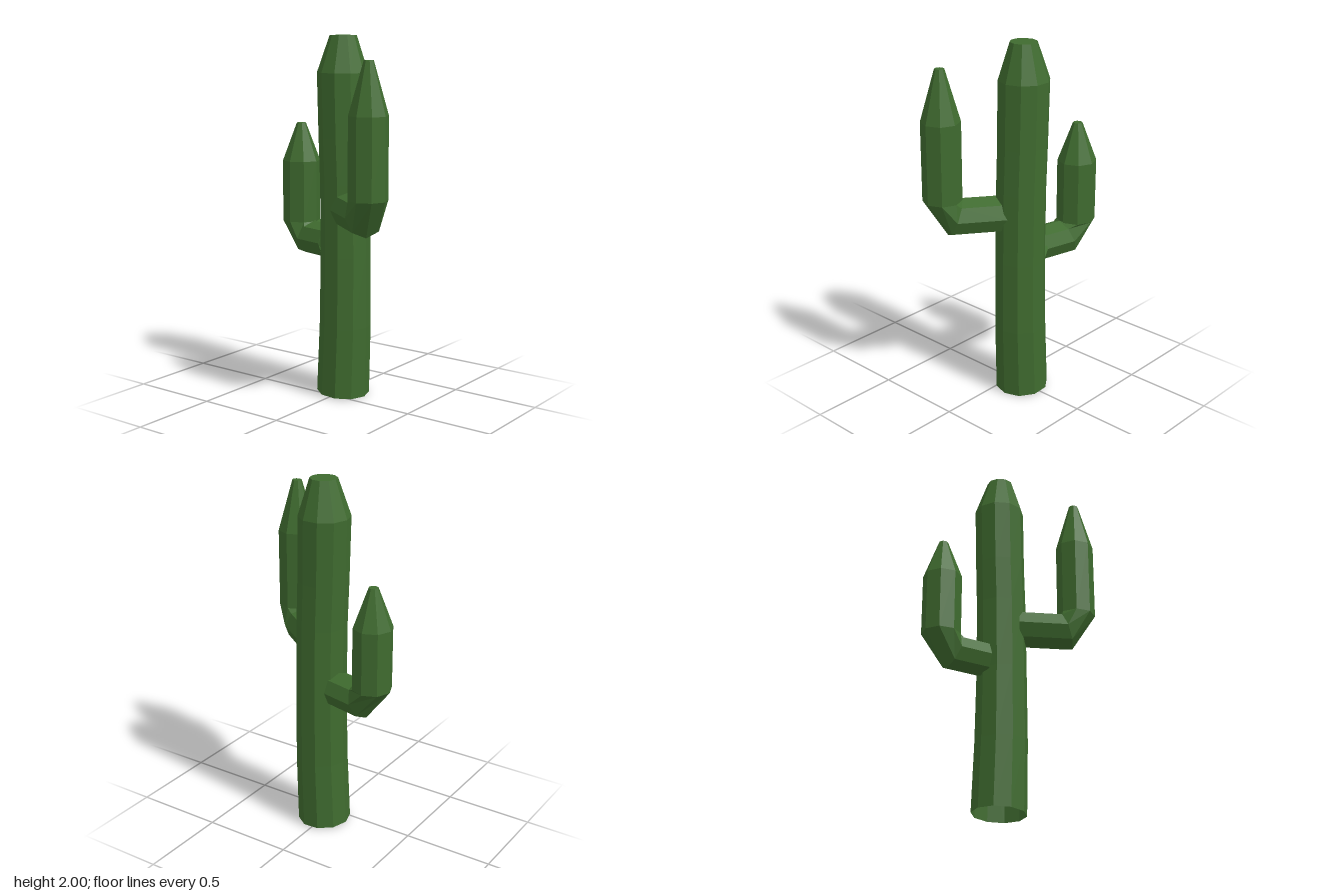
import * as THREE from 'three';

const TRUNK_Z = -0.09;

// Skin a list of rings (arrays of Vector3) from base to tip and close the tip with a fan.
function loft(name, rings, material) {
  const pos = [];
  const tri = (...pts) => pts.forEach(p => pos.push(p.x, p.y, p.z));
  const n = rings[0].length;
  for (let i = 0; i < rings.length - 1; i++) {
    for (let j = 0; j < n; j++) {
      const k = (j + 1) % n, lo = rings[i], hi = rings[i + 1];
      tri(lo[j], hi[j], lo[k]);
      tri(lo[k], hi[j], hi[k]);
    }
  }
  const top = rings[rings.length - 1];
  const centre = top.reduce((s, p) => s.add(p), new THREE.Vector3()).divideScalar(n);
  for (let j = 0; j < n; j++) tri(top[j], centre, top[(j + 1) % n]);

  const geometry = new THREE.BufferGeometry();
  geometry.setAttribute('position', new THREE.Float32BufferAttribute(pos, 3));
  geometry.computeVertexNormals();
  const mesh = new THREE.Mesh(geometry, material);
  mesh.name = name;
  return mesh;
}

// Ring of points around a centre, spanned by the axes u and v.
function ring(centre, u, v, r, sides, phase = 0) {
  return Array.from({ length: sides }, (_, j) => {
    const a = phase + j / sides * Math.PI * 2;
    return centre.clone().addScaledVector(u, r * Math.cos(a)).addScaledVector(v, r * Math.sin(a));
  });
}

// Slightly swaying ten-sided trunk, open underneath.
function makeTrunk(material) {
  const sections = [ // y, centre x, radius, slope of the ring
    [0.008, 0.003, 0.147, -0.05],
    [0.4, 0.017, 0.143, 0],
    [0.8, 0.019, 0.138, 0],
    [1.2, 0.014, 0.137, 0],
    [1.45, 0.004, 0.137, 0],
    [1.8, -0.004, 0.139, 0],
    [2, 0, 0.073, 0],
  ];
  const v = new THREE.Vector3(0, 0, 1);
  const rings = sections.map(([y, x, r, slope]) =>
    ring(new THREE.Vector3(x, y, TRUNK_Z), new THREE.Vector3(1, slope, 0), v, r, 10));
  return loft('trunk', rings, material);
}

// Eight-sided arm: leaves the trunk level, bends at an elbow, rises and tapers.
function makeArm(name, o, material) {
  const dx = o.x, dz = o.z - TRUNK_Z, reach = Math.hypot(dx, dz);
  const out = new THREE.Vector3(dx / reach, 0, dz / reach);
  const side = new THREE.Vector3(-out.z, 0, out.x);
  const at = (s, y) => new THREE.Vector3(0, y, TRUNK_Z).addScaledVector(out, s);
  const down = new THREE.Vector3(0, -1, 0);
  const tilted = down.clone().addScaledVector(out, 0.37);

  // The upright part keeps its corners on the world axes.
  const heading = Math.atan2(dz, dx), step = Math.PI / 4;
  const phase = Math.round(heading / step) * step - heading;

  const rings = [
    ring(at(0.1, o.level), down, side, o.branchR, 8),
    ring(at(o.elbow, o.level), tilted, side, o.branchR, 8),
    ...[[o.base, o.r], [o.shoulder, o.r], [o.tip, 0.026]].map(([y, r]) =>
      ring(at(reach, y), out, side, r, 8, phase)),
  ];
  return loft(name, rings, material);
}

export function createModel() {
  const green = new THREE.MeshStandardMaterial({
    color: 0x3f6b2f, flatShading: true, side: THREE.DoubleSide,
  });
  const model = new THREE.Group();
  model.name = 'cactus';
  model.add(
    makeTrunk(green),
    makeArm('leftArm', {
      x: 0.35, z: 0.168, level: 1.066, branchR: 0.104, elbow: 0.37,
      base: 1.165, shoulder: 1.6, tip: 1.88, r: 0.106,
    }, green),
    makeArm('rightArm', {
      x: -0.353, z: -0.169, level: 0.855, branchR: 0.097, elbow: 0.285,
      base: 0.945, shoulder: 1.29, tip: 1.505, r: 0.107,
    }, green),
  );
  return model;
}
